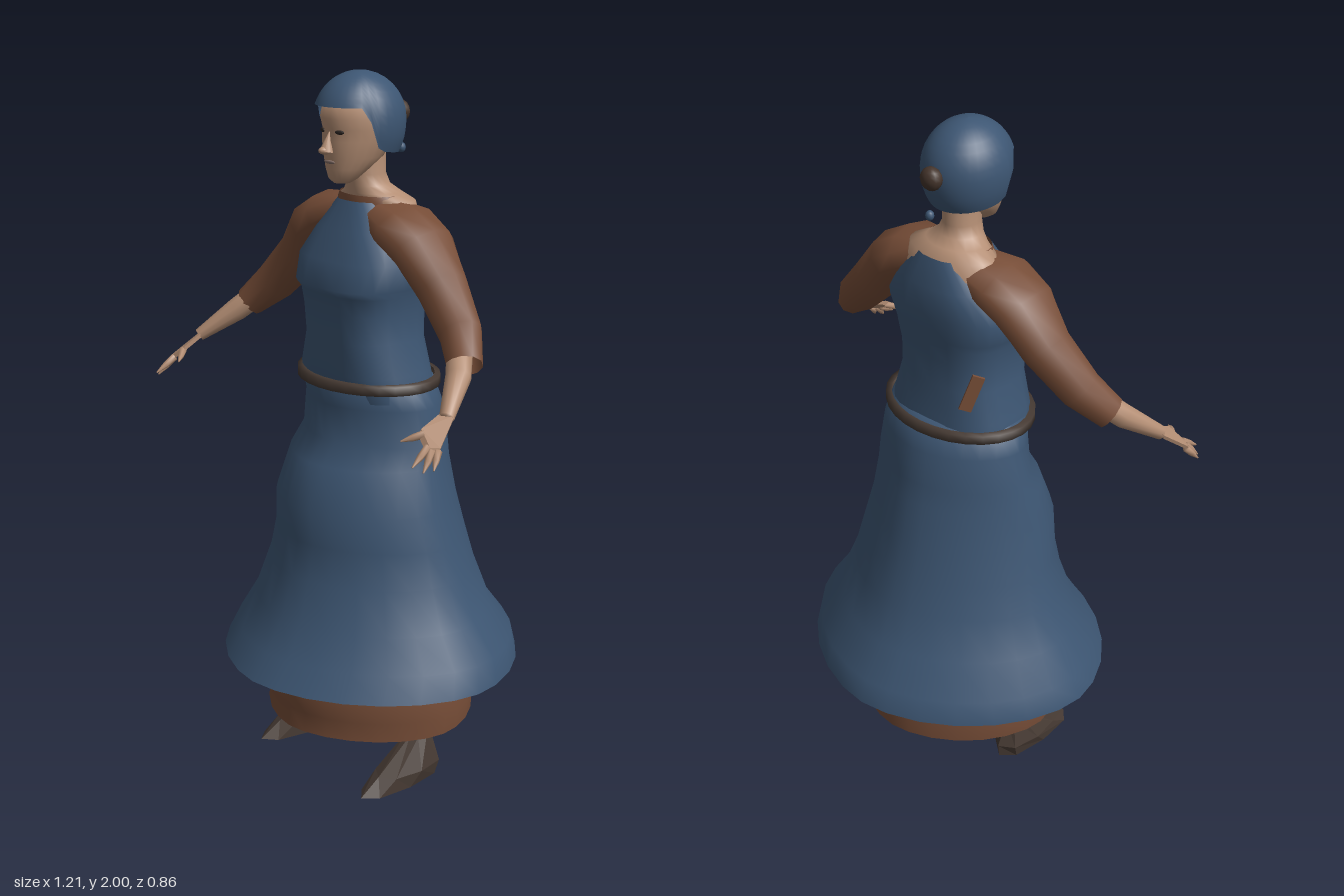
import * as THREE from 'three';
import { ConvexGeometry } from 'three/addons/geometries/ConvexGeometry.js';

const paint = (name, color) => {
  const m = new THREE.MeshStandardMaterial({ color, side: THREE.DoubleSide });
  m.name = name;
  return m;
};

export function createModel() {
  const model = new THREE.Group();
  model.name = 'womanInApron';
  const blue = paint('blueCloth', 0x3d5673);
  const brown = paint('brownCloth', 0x784e38);
  const skin = paint('skin', 0xb48e74);
  const leather = paint('darkLeather', 0x463a33);
  const hair = paint('hair', 0x44342b);
  const dark = paint('eyeDark', 0x2c2522);
  const lip = paint('lips', 0x857069);

  const add = (name, geo, mat, x = 0, y = 0, z = 0) => {
    const mesh = new THREE.Mesh(geo, mat);
    mesh.name = name;
    mesh.position.set(x, y, z);
    model.add(mesh);
    return mesh;
  };

  // Skin over rows of points, each row a closed loop
  function surface(rows, caps = false) {
    const n = rows[0].length, pos = [], idx = [];
    rows.forEach((row) => row.forEach((p) => pos.push(p.x, p.y, p.z)));
    for (let i = 0; i < rows.length - 1; i++) {
      for (let j = 0; j < n; j++) {
        const k = (j + 1) % n, a = i * n, b = a + n;
        idx.push(a + j, b + j, b + k, a + j, b + k, a + k);
      }
    }
    if (caps) {
      [0, rows.length - 1].forEach((r) => {
        const c = new THREE.Vector3();
        rows[r].forEach((p) => c.addScaledVector(p, 1 / n));
        const ci = pos.length / 3;
        pos.push(c.x, c.y, c.z);
        for (let j = 0; j < n; j++) {
          const a = r * n + j, b = r * n + (j + 1) % n;
          r ? idx.push(ci, b, a) : idx.push(ci, a, b);
        }
      });
    }
    const g = new THREE.BufferGeometry();
    g.setAttribute('position', new THREE.Float32BufferAttribute(pos, 3));
    g.setIndex(idx);
    g.computeVertexNormals();
    return g;
  }

  // Upright body: rings of [y, half width, front z, back z], bottom to top
  function body(rings, n = 24, caps = false, power = 1) {
    const bend = (v) => Math.sign(v) * Math.abs(v) ** power;
    return surface(rings.map(([y, rx, zf, zb]) => Array.from({ length: n }, (_, j) => {
      const a = j / n * Math.PI * 2;
      return new THREE.Vector3(rx * bend(Math.cos(a)), y, (zf + zb) / 2 + (zf - zb) / 2 * bend(Math.sin(a)));
    })), caps);
  }

  // Limb: stations of [x, y, z, thickness, depth], mirrored by s
  function limb(stations, s, n = 10, caps = true) {
    const pts = stations.map(([x, y, z]) => new THREE.Vector3(s * x, y, z));
    return surface(stations.map(([, , , r1, r2], i) => {
      const t = pts[Math.min(i + 1, pts.length - 1)].clone().sub(pts[Math.max(i - 1, 0)]).normalize();
      const u = t.clone().cross(new THREE.Vector3(0, 0, 1)).normalize();
      const v = u.clone().cross(t);
      return Array.from({ length: n }, (_, j) => {
        const a = j / n * Math.PI * 2;
        return pts[i].clone().addScaledVector(u, r1 * Math.cos(a)).addScaledVector(v, r2 * Math.sin(a));
      });
    }), caps);
  }

  // Skirts and belt; the overskirt turns in under the belt at the waist
  add('overskirt', body([
    [0.34, 0.465, 0.425, -0.43], [0.41, 0.445, 0.375, -0.41], [0.5, 0.385, 0.32, -0.34],
    [0.62, 0.335, 0.28, -0.295], [0.72, 0.31, 0.26, -0.265], [0.82, 0.288, 0.265, -0.24],
    [0.94, 0.26, 0.215, -0.215], [1.0, 0.245, 0.165, -0.205], [1.1, 0.23, 0.16, -0.19],
    [1.165, 0.215, 0.17, -0.165], [1.175, 0.18, 0.14, -0.125],
  ], 28, false, 1.12), blue);
  add('underskirt', body([
    [0.165, 0.325, 0.3, -0.305], [0.22, 0.33, 0.295, -0.305], [0.3, 0.328, 0.312, -0.3],
    [0.4, 0.315, 0.28, -0.29], [0.55, 0.29, 0.25, -0.25], [0.75, 0.25, 0.2, -0.2],
  ], 28, false, 1.13), brown);
  add('belt', body([
    [1.148, 0.21, 0.165, -0.16], [1.15, 0.228, 0.182, -0.175], [1.175, 0.228, 0.182, -0.175], [1.178, 0.21, 0.165, -0.16],
  ], 28), leather);

  // Bodice with a ridge across the chest
  add('bodice', body([
    [1.12, 0.2, 0.14, -0.14], [1.19, 0.192, 0.155, -0.13], [1.28, 0.166, 0.152, -0.12], [1.36, 0.168, 0.158, -0.12],
    [1.41, 0.176, 0.165, -0.128], [1.43, 0.182, 0.182, -0.13], [1.5, 0.2, 0.155, -0.14], [1.58, 0.15, 0.115, -0.135],
    [1.655, 0.085, 0.078, -0.11],
  ], 24, false, 0.74), blue);
  add('collar', body([[1.6, 0.13, 0.07, -0.1], [1.645, 0.115, 0.07, -0.085], [1.67, 0.1, 0.066, -0.07]], 20), brown);
  const patch = add('backPatch', new THREE.BoxGeometry(0.035, 0.11, 0.008), brown, -0.131, 1.29, -0.1);
  patch.rotation.set(0, Math.PI / 4, 0.35);

  // Neck and head
  add('neck', body([
    [1.61, 0.14, 0.05, -0.12], [1.655, 0.135, 0.055, -0.105], [1.675, 0.09, 0.058, -0.08], [1.695, 0.063, 0.062, -0.055],
    [1.725, 0.05, 0.066, -0.045], [1.8, 0.05, 0.07, -0.045],
  ], 18), skin);
  add('head', body([
    [1.706, 0.022, 0.118, 0.07], [1.718, 0.04, 0.131, 0.05], [1.745, 0.058, 0.137, 0.01], [1.775, 0.075, 0.139, -0.03],
    [1.82, 0.089, 0.142, -0.06], [1.85, 0.093, 0.138, -0.07], [1.88, 0.095, 0.146, -0.07], [1.93, 0.088, 0.135, -0.06],
  ], 22, true), skin);
  const nose = add('nose', new THREE.ConeGeometry(0.02, 0.058, 10), skin, 0, 1.821, 0.142);
  nose.rotation.x = -0.2;
  const oval = (name, mat, x, y, z, w, h, d) => {
    const m = add(name, new THREE.SphereGeometry(1, 12, 8), mat, x, y, z);
    m.scale.set(w, h, d);
    return m;
  };
  for (const s of [-1, 1]) {
    oval('eye', dark, s * 0.036, 1.846, 0.132, 0.014, 0.006, 0.004).rotation.y = s * 0.35;
  }
  oval('noseTip', skin, 0, 1.797, 0.153, 0.014, 0.011, 0.02);
  oval('mouth', lip, 0, 1.765, 0.138, 0.023, 0.005, 0.004);

  // Cap: a dome cut high over the face and low at the nape
  const capRows = [];
  for (let i = 0; i <= 12; i++) {
    capRows.push(Array.from({ length: 32 }, (_, j) => {
      const a = j / 32 * Math.PI * 2, f = Math.sin(a);
      const face = THREE.MathUtils.smoothstep(f, 0.1, 0.55);
      const low = 2.2 + 0.16 * Math.max(0, -f);
      const t = (1 - i / 12) * THREE.MathUtils.lerp(low, 1.24, face);
      const r = t < Math.PI / 2 ? Math.sin(t) : 1 - 0.3 * (t - Math.PI / 2) ** 2;
      return new THREE.Vector3(0.119 * r * Math.cos(a), 1.87 + 0.13 * Math.cos(t), 0.034 + 0.131 * r * f);
    }));
  }
  add('cap', surface(capRows), blue);
  oval('hairBun', hair, 0, 1.88, -0.108, 0.032, 0.032, 0.026);
  oval('capBead', blue, 0, 1.78, -0.115, 0.012, 0.014, 0.012);

  for (const s of [-1, 1]) {
    // Sleeve and forearm
    add('sleeve', limb([
      [0.06, 1.62, -0.01, 0.042, 0.078], [0.15, 1.59, 0, 0.07, 0.105], [0.22, 1.55, 0, 0.072, 0.1],
      [0.3, 1.455, 0, 0.068, 0.072], [0.4, 1.355, 0.025, 0.06, 0.058], [0.465, 1.29, 0.07, 0.044, 0.05],
    ], s, 10, false), brown);
    add('forearm', limb([
      [0.41, 1.345, 0.035, 0.036, 0.036], [0.48, 1.27, 0.105, 0.034, 0.034], [0.542, 1.195, 0.2, 0.018, 0.02],
    ], s), skin);

    // Hand: a flat fan with pointed fingers
    const palm = [];
    for (const d of [-0.009, 0.009]) {
      [[0.526, 1.205, 0.19], [0.556, 1.192, 0.19], [0.59, 1.13, 0.268], [0.57, 1.13, 0.285], [0.522, 1.165, 0.272]]
        .forEach(([x, y, z]) => palm.push(new THREE.Vector3(s * x, y + d, z - d * 0.5)));
    }
    add('palm', new ConvexGeometry(palm), skin);
    const fingers = [
      [0.583, 1.13, 0.265, 0.603, 1.09, 0.297], [0.573, 1.13, 0.276, 0.588, 1.085, 0.318],
      [0.56, 1.137, 0.278, 0.568, 1.098, 0.337], [0.532, 1.162, 0.265, 0.492, 1.142, 0.31],
    ];
    fingers.forEach(([x, y, z, tx, ty, tz]) => add('finger', limb([
      [x, y, z, 0.011, 0.011], [(x + tx) / 2, (y + ty) / 2, (z + tz) / 2, 0.009, 0.009], [tx, ty, tz, 0.002, 0.002],
    ], s, 6), skin));

    // Short ankle and wedge-shaped shoe
    const ankle = add('ankle', new THREE.CylinderGeometry(0.016, 0.024, 0.11, 8), skin, s * 0.22, 0.155, -0.012);
    ankle.rotation.x = -0.3;
    const shoe = body([
      [0.004, 0.05, 0.228, -0.065], [0.045, 0.058, 0.16, -0.07], [0.132, 0.032, 0.035, -0.035],
    ], 8, true, 0.85).toNonIndexed();
    shoe.computeVertexNormals();
    add('shoe', shoe, leather, s * 0.222, 0, 0).rotation.y = s * 0.06;
  }
  return model;
}
